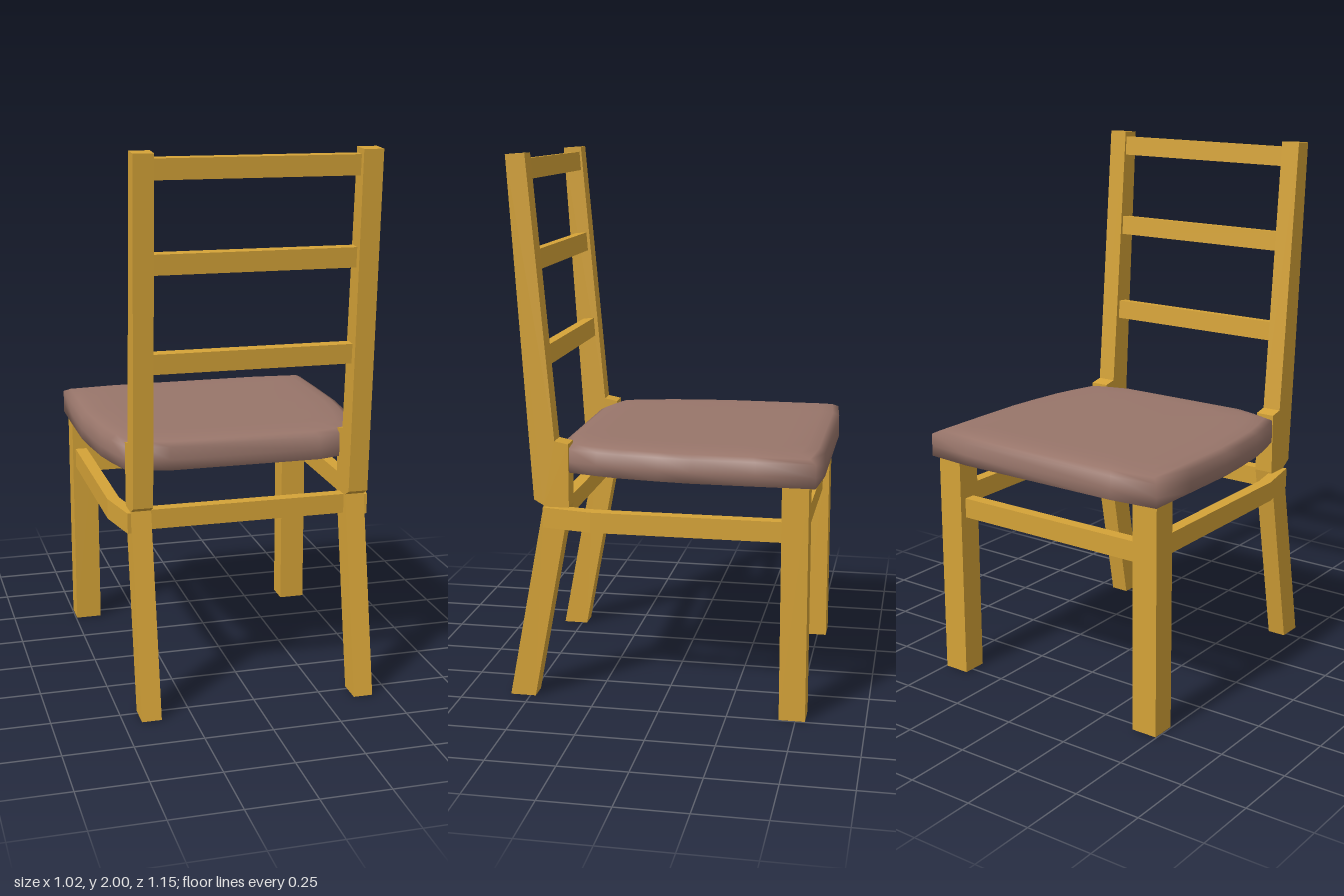
import * as THREE from 'three';

const wood = new THREE.MeshStandardMaterial({ color: 0xd4a237 });
wood.name = 'golden wood';
const fabric = new THREE.MeshStandardMaterial({ color: 0x98756a });
fabric.name = 'brown upholstery';

function addMesh(group, name, geometry, material, x = 0, y = 0, z = 0) {
  const mesh = new THREE.Mesh(geometry, material);
  mesh.name = name;
  mesh.position.set(x, y, z);
  group.add(mesh);
  return mesh;
}

function extrude(points, depth) {
  const shape = new THREE.Shape(points.map(([x, y]) => new THREE.Vector2(x, y)));
  return new THREE.ExtrudeGeometry(shape, { depth, bevelEnabled: false });
}

// Cushion: one outline repeated at several heights, closed at both ends
function cushionGeometry() {
  const half = [[0.28, 0.385], [0.37, 0.36], [0.435, 0.335], [0.465, 0.23], [0.485, 0.14],
    [0.502, 0], [0.512, -0.12], [0.512, -0.35], [0.51, -0.558], [0.33, -0.575]];
  const outline = [...half, ...half.map(([x, z]) => [-x, z]).reverse()];
  const rings = [[0.95, 0.865], [1, 0.866], [1, 0.905], [1, 0.952], [0.95, 0.965], [0.865, 0.975], [0.7, 0.976]];
  const n = outline.length, midZ = -0.095, pos = [], index = [];
  for (const [s, y] of rings) {
    for (const [x, z] of outline) pos.push(x * s, y, midZ + (z - midZ) * s);
  }
  const bottom = pos.length / 3, top = bottom + 1, last = (rings.length - 1) * n;
  pos.push(0, 0.865, midZ, 0, 0.976, midZ);
  for (let i = 0; i < n; i++) {
    const j = (i + 1) % n;
    for (let r = 0; r < rings.length - 1; r++) {
      const a = r * n + i, b = r * n + j;
      index.push(a, a + n, b, b, a + n, b + n);
    }
    index.push(bottom, i, j, top, last + j, last + i);
  }
  // Order the corners so that faces point outwards
  for (let k = 0; k < index.length; k += 3) {
    [index[k + 1], index[k + 2]] = [index[k + 2], index[k + 1]];
  }
  const geo = new THREE.BufferGeometry();
  geo.setAttribute('position', new THREE.Float32BufferAttribute(pos, 3));
  geo.setIndex(index);
  // Check the winding on the top cap
  const [a, b, c] = index.slice(-3).map(i => new THREE.Vector3().fromArray(pos, i * 3));
  if (b.sub(a).cross(c.sub(a)).y < 0) geo.setIndex(index.slice().reverse());
  geo.computeVertexNormals();
  return geo;
}

export function createModel() {
  const chair = new THREE.Group();
  chair.name = 'chair';

  addMesh(chair, 'seatCushion', cushionGeometry(), fabric);

  // Bent back post and leg in one piece, as (z, y)
  const post = [[0.575, 0], [0.48, 0], [0.34, 0.74], [0.34, 0.97], [0.39, 0.98],
    [0.478, 2], [0.548, 1.995], [0.47, 0.76], [0.435, 0.74]];
  // Side rail bending in towards the post, as (x, z)
  const rail = [[0.485, -0.45], [0.485, 0.25], [0.448, 0.435], [0.405, 0.43], [0.44, 0.24], [0.44, -0.45]];

  for (const side of [1, -1]) {
    const label = side > 0 ? 'left' : 'right';

    const postGeo = extrude(post.map(([z, y]) => [-z, y]), 0.072);
    postGeo.rotateY(Math.PI / 2);
    addMesh(chair, label + 'BackPost', postGeo, wood, side > 0 ? 0.363 : -0.435);

    const railGeo = extrude(rail.map(([x, z]) => [side * x, -z]), 0.075);
    railGeo.rotateX(-Math.PI / 2);
    addMesh(chair, label + 'SideRail', railGeo, wood, 0, 0.66, 0);

    addMesh(chair, label + 'SeatLeg', new THREE.BoxGeometry(0.1, 0.866, 0.095), wood, side * 0.446, 0.433, -0.4875);
  }

  // Backrest slats, tilted along the posts
  [[1.275, 0.452], [1.622, 0.478], [1.942, 0.502]].forEach(([y, z], i) => {
    const slat = addMesh(chair, 'backSlat' + (i + 1), new THREE.BoxGeometry(0.73, 0.072, 0.042), wood, 0, y, z);
    slat.rotation.x = 0.075;
  });

  // Rails joining each pair of legs
  addMesh(chair, 'backRail', new THREE.BoxGeometry(0.73, 0.072, 0.045), wood, 0, 0.7, 0.395);
  addMesh(chair, 'seatLegRail', new THREE.BoxGeometry(0.8, 0.075, 0.045), wood, 0, 0.668, -0.487);

  return chair;
}
